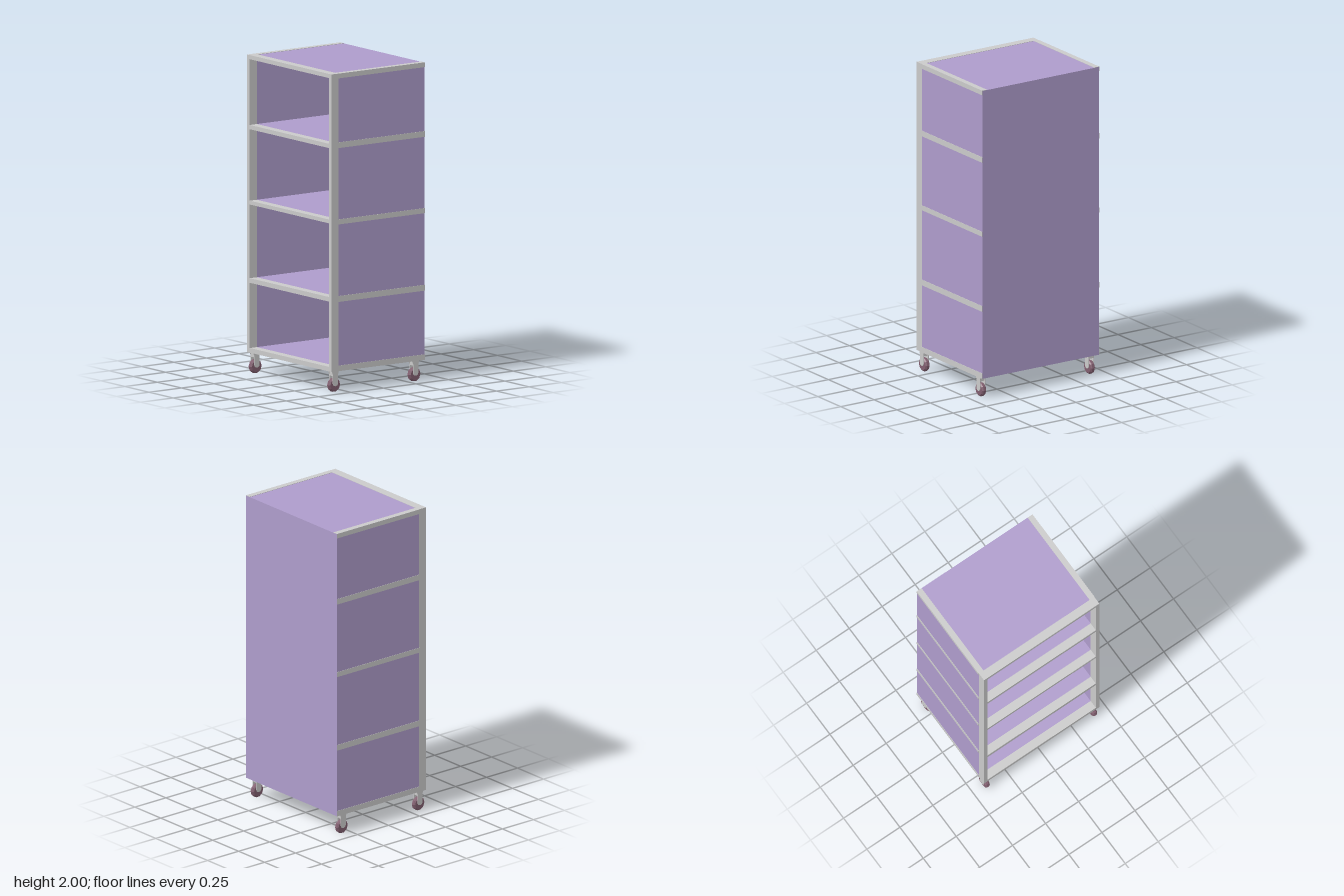
import * as THREE from 'three';

const W = 0.437, IN = 0.41, Y0 = 0.13, Y1 = 2, BACK = -0.364, SEAM = 0.3, FRONT = 0.355, SKIN = 0.002;

export function createModel() {
  const lilac = new THREE.MeshStandardMaterial({ color: 0xae9ccb });
  lilac.name = 'lilac panel';
  const grey = new THREE.MeshStandardMaterial({ color: 0xcacaca });
  grey.name = 'light grey frame';
  const mauve = new THREE.MeshStandardMaterial({ color: 0x825f70 });
  mauve.name = 'mauve wheel';

  const model = new THREE.Group();
  model.name = 'rollingShelf';

  const add = (parent, name, geometry, material) => {
    const mesh = new THREE.Mesh(geometry, material);
    mesh.name = name;
    parent.add(mesh);
    return mesh;
  };
  // Box given by its two extreme corners
  const block = (name, material, x0, x1, y0, y1, z0, z1) => {
    const mesh = add(model, name, new THREE.BoxGeometry(x1 - x0, y1 - y0, z1 - z0), material);
    mesh.position.set((x0 + x1) / 2, (y0 + y1) / 2, (z0 + z1) / 2);
    return mesh;
  };
  const rect = (PathType, x0, x1, y0, y1) => new PathType(
    [[x0, y0], [x1, y0], [x1, y1], [x0, y1]].map(([x, y]) => new THREE.Vector2(x, y)));

  // Front frame with four openings
  const openings = [[0.159, 0.569], [0.598, 1.061], [1.085, 1.534], [1.561, 1.974]];
  const frame = rect(THREE.Shape, -W, W, Y0, Y1);
  frame.holes = openings.map(([a, b]) => rect(THREE.Path, -IN, IN, a, b));
  const frameGeo = new THREE.ExtrudeGeometry(frame, { depth: FRONT - SEAM, bevelEnabled: false });
  add(model, 'frontFrame', frameGeo, grey).position.z = SEAM;

  // Cabinet body behind the frame
  block('backPanel', lilac, -W, W, Y0, Y1 - SKIN, BACK, BACK + 0.027);
  block('bottomBoard', lilac, -IN, IN, Y0, openings[0][0], BACK + 0.027, SEAM);
  block('topBoard', lilac, -IN, IN, openings[3][1], Y1 - SKIN, BACK + 0.027, SEAM);
  for (let i = 0; i < 3; i++) {
    block('shelf', lilac, -IN, IN, openings[i][1], openings[i + 1][0], BACK + 0.027, SEAM);
  }

  // Side walls, their thin bands, and the rails along the top edges
  const bands = [[Y0, 0.165], [0.565, 0.602], [1.052, 1.084], [1.532, 1.568], [1.97, Y1]];
  for (const s of [-1, 1]) {
    const sides = (a, b) => [Math.min(s * a, s * b), Math.max(s * a, s * b)];
    block('sideWall', lilac, ...sides(IN, W), Y0, Y1 - SKIN, BACK + 0.027, SEAM);
    for (const [a, b] of bands) {
      block('sideBand', grey, ...sides(W, W + SKIN), a, b, BACK, SEAM);
    }
    block('topRail', grey, ...sides(0.402, W), Y1 - SKIN, Y1, BACK, SEAM);
  }

  // Casters: faceted wheel held between two tapered fork plates
  const wheelGeo = new THREE.LatheGeometry(
    [[0, -0.016], [0.036, -0.016], [0.0445, -0.008], [0.0445, 0.008], [0.036, 0.016], [0, 0.016]]
      .map(([r, y]) => new THREE.Vector2(r, y)), 10).toNonIndexed();
  wheelGeo.computeVertexNormals();
  wheelGeo.rotateZ(Math.PI / 2);

  const forkShape = new THREE.Shape();
  forkShape.moveTo(-0.027, Y0);
  forkShape.lineTo(-0.019, 0.108);
  forkShape.lineTo(-0.019, 0.052);
  forkShape.quadraticCurveTo(-0.017, 0.036, 0, 0.035);
  forkShape.quadraticCurveTo(0.017, 0.036, 0.019, 0.052);
  forkShape.lineTo(0.019, 0.108);
  forkShape.lineTo(0.027, Y0);
  forkShape.closePath();
  const forkGeo = new THREE.ExtrudeGeometry(forkShape, { depth: 0.004, bevelEnabled: false, curveSegments: 4 });
  forkGeo.translate(0, 0, -0.002);
  forkGeo.rotateY(Math.PI / 2);

  for (const x of [-0.407, 0.407]) {
    for (const z of [0.316, -0.303]) {
      const caster = new THREE.Group();
      caster.name = 'caster';
      caster.position.set(x, 0, z);
      add(caster, 'wheel', wheelGeo, mauve).position.y = 0.0423;
      for (const s of [-1, 1]) add(caster, 'forkPlate', forkGeo, grey).position.x = s * 0.0185;
      add(caster, 'forkCrown', new THREE.BoxGeometry(0.037, 0.03, 0.036), grey).position.y = 0.115;
      model.add(caster);
    }
  }
  return model;
}
